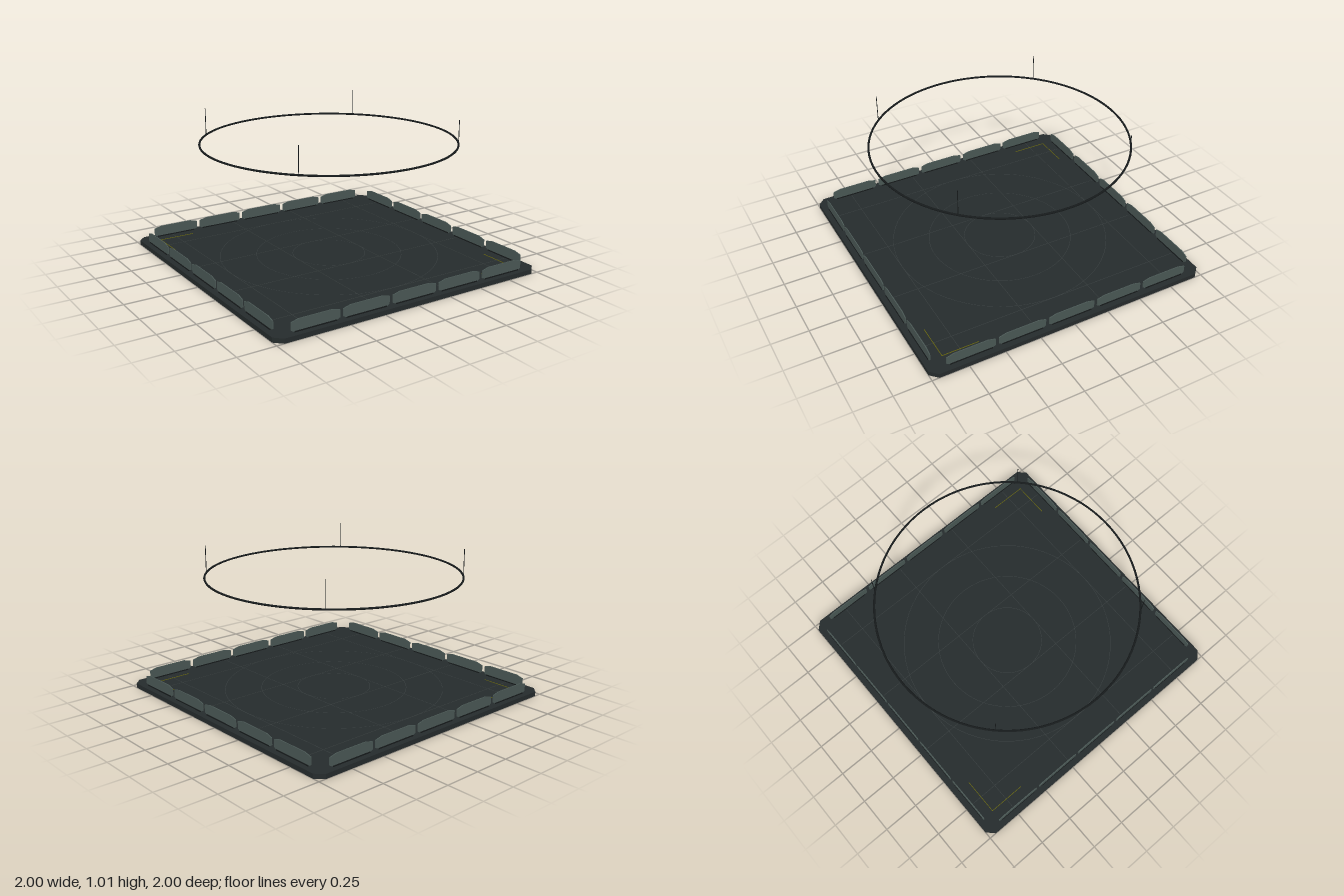
import * as THREE from 'three';

const mat = (color, side = THREE.FrontSide) =>
  new THREE.MeshStandardMaterial({ color, side, flatShading: true });

// Closed polygon from a short point list
const polygon = (pts) => new THREE.Shape(pts.map(([x, y]) => new THREE.Vector2(x, y)));

export function createModel() {
  const model = new THREE.Group();
  const deck = mat(0x252b2c), dark = mat(0x161a1b), panelMat = mat(0x4a5855, THREE.DoubleSide);
  const lineMat = mat(0x363d3d), markMat = mat(0x66650f);

  const add = (name, geometry, material, x = 0, y = 0, z = 0, parent = model) => {
    const mesh = new THREE.Mesh(geometry, material);
    mesh.name = name;
    mesh.position.set(x, y, z);
    parent.add(mesh);
    return mesh;
  };

  // Square base plate with clipped corners
  const clipped = (h, c) => polygon([
    [-h + c, -h], [h - c, -h], [h, -h + c], [h, h - c],
    [h - c, h], [-h + c, h], [-h, h - c], [-h, -h + c],
  ]);
  const base = new THREE.ExtrudeGeometry(clipped(1, 0.05), { depth: 0.031, bevelEnabled: false });
  add('basePlate', base.rotateX(-Math.PI / 2), deck);

  // Floor markings: grid lines and concentric circles
  const floorY = 0.0315;
  for (const p of [-0.75, -0.25, 0.25, 0.75]) {
    add('gridLineX', new THREE.BoxGeometry(1.88, 0.002, 0.003), lineMat, 0, floorY, p);
    add('gridLineZ', new THREE.BoxGeometry(0.003, 0.002, 1.88), lineMat, p, floorY, 0);
  }
  for (const r of [0.25, 0.5, 0.75]) {
    const circle = new THREE.RingGeometry(r - 0.0015, r + 0.0015, 64).rotateX(-Math.PI / 2);
    add('floorCircle', circle, lineMat, 0, 0.033, 0);
  }

  // L-shaped marks in two opposite corners
  for (const s of [-1, 1]) {
    add('cornerMarkX', new THREE.BoxGeometry(0.255, 0.003, 0.004), markMat, s * 0.747, 0.033, s * 0.873);
    add('cornerMarkZ', new THREE.BoxGeometry(0.004, 0.003, 0.255), markMat, s * 0.873, 0.033, s * 0.747);
  }

  // Low wall of five clipped panels on each side, standing on small rails
  const panelShape = polygon([
    [-0.148, 0.034], [0.148, 0.034], [0.167, 0.045], [0.167, 0.094],
    [0.115, 0.108], [-0.115, 0.108], [-0.167, 0.094], [-0.167, 0.045],
  ]);
  const panel = new THREE.ExtrudeGeometry(panelShape, { depth: 0.006, bevelEnabled: false });
  panel.translate(0, 0, -0.003);
  const rail = new THREE.BoxGeometry(0.29, 0.008, 0.014);
  for (let side = 0; side < 4; side++) {
    const wall = new THREE.Group();
    wall.name = 'wall';
    wall.rotation.y = side * Math.PI / 2;
    for (let i = -2; i <= 2; i++) {
      add('wallPanel', panel, panelMat, i * 0.358, 0, 0.956, wall);
      add('panelRail', rail, dark, i * 0.358, 0.034, 0.956, wall);
    }
    model.add(wall);
  }

  // Suspended ring with four hanger rods
  const ring = new THREE.TorusGeometry(0.861, 0.007, 8, 96).rotateX(Math.PI / 2);
  add('suspendedRing', ring, dark, 0, 0.829, 0);
  const rod = new THREE.CylinderGeometry(0.0025, 0.0025, 0.182, 6);
  for (const x of [-0.61, 0.61]) {
    for (const z of [-0.61, 0.61]) add('hangerRod', rod, dark, x, 0.92, z);
  }

  return model;
}
